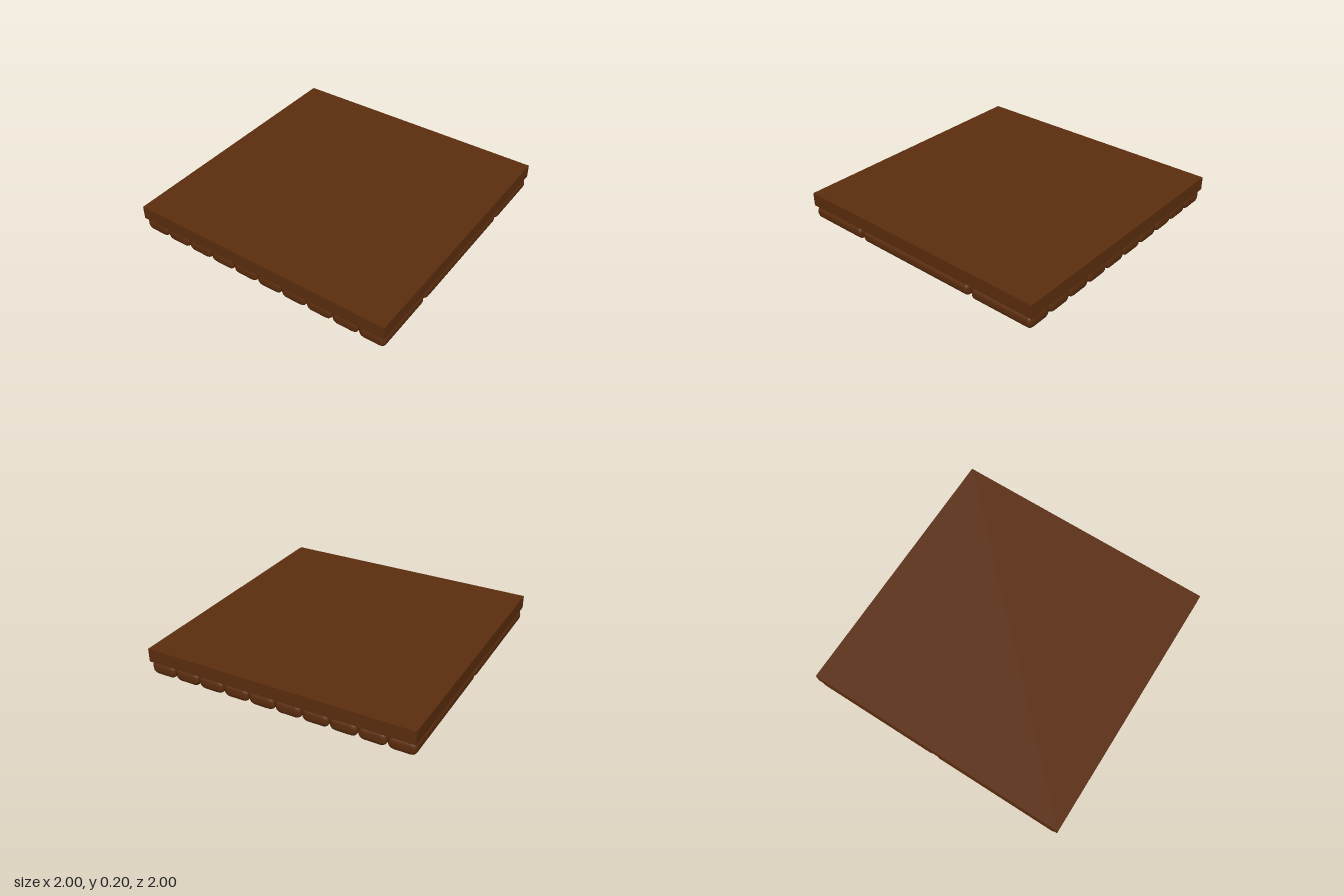
import * as THREE from 'three';
import { RoundedBoxGeometry } from 'three/addons/geometries/RoundedBoxGeometry.js';

const COLUMNS = 10;
const COLUMN_WIDTH = 2 / COLUMNS;
const END_SQUASH = 0.6; // ends are rounded more tightly than the long edges

// Pillow-edged board running along z
function boardGeometry(length) {
  const g = new RoundedBoxGeometry(0.196, 0.1, length / END_SQUASH, 2, 0.042);
  return g.scale(1, 1, END_SQUASH);
}

export function createModel() {
  const model = new THREE.Group();
  model.name = 'plankFloor';
  const wood = new THREE.MeshStandardMaterial({ name: 'darkBrownWood', color: 0x5b2d0e });

  // Flat slab on top
  const slab = new THREE.Mesh(new THREE.BoxGeometry(2, 0.1, 2), wood);
  slab.name = 'slab';
  slab.position.y = 0.15;
  model.add(slab);

  // Staggered boards underneath
  const longBoard = boardGeometry(0.98);
  const shortBoard = boardGeometry(0.48);
  const evenLayout = [[longBoard, -0.5], [longBoard, 0.5]];
  const oddLayout = [[shortBoard, -0.75], [longBoard, 0], [shortBoard, 0.75]];

  const boards = new THREE.Group();
  boards.name = 'boards';
  for (let i = 0; i < COLUMNS; i++) {
    const x = -1 + (i + 0.5) * COLUMN_WIDTH;
    for (const [geometry, z] of i % 2 ? oddLayout : evenLayout) {
      const board = new THREE.Mesh(geometry, wood);
      board.name = geometry === longBoard ? 'longBoard' : 'shortBoard';
      board.position.set(x, 0.05, z);
      boards.add(board);
    }
  }
  model.add(boards);
  return model;
}
